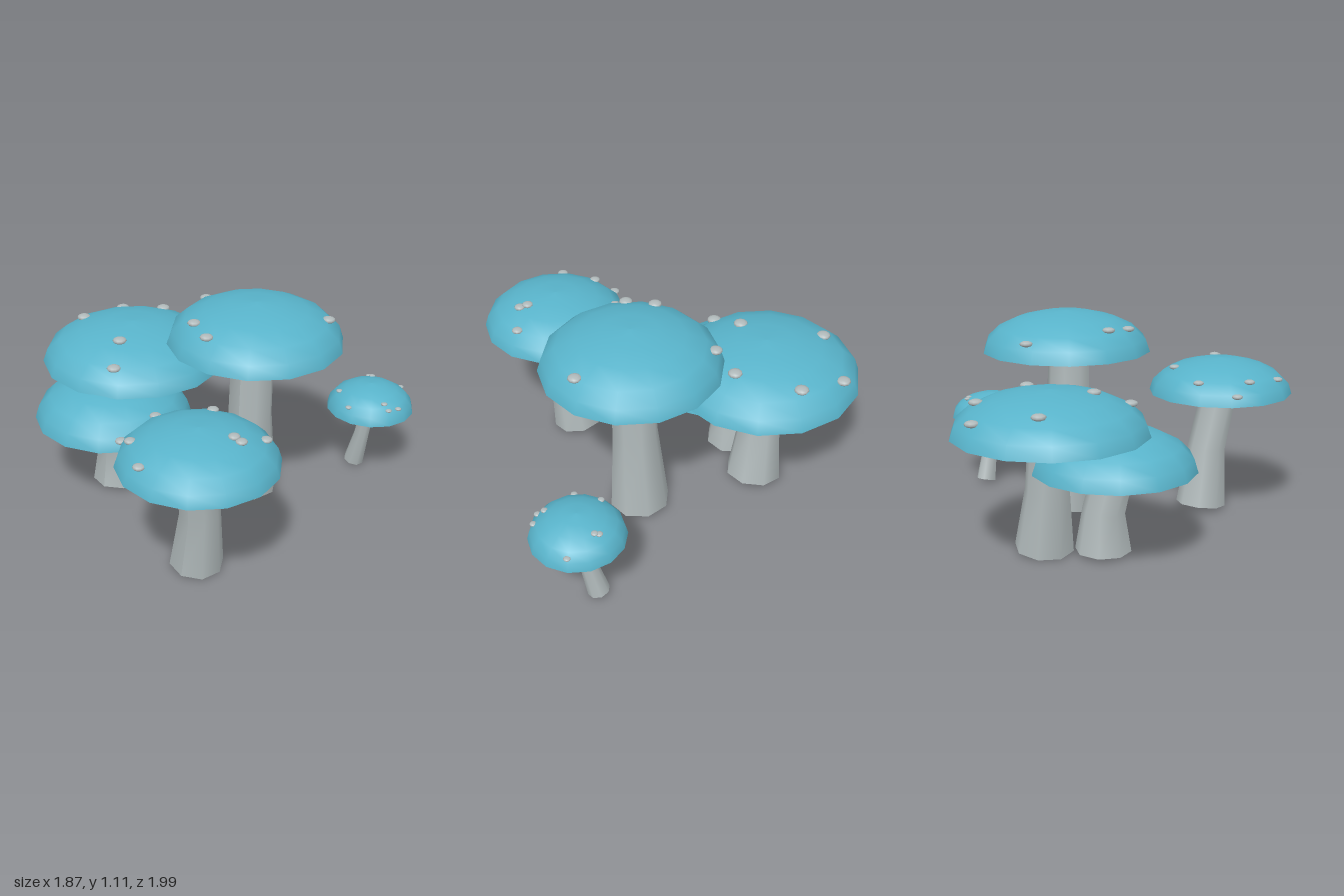
import * as THREE from 'three';

const SIDES = 14;

// cap: [x, z, rim radius, rim y, top y]; stem: [x, z] at foot, bend and top;
// neck: stem radius at the top; spots: [x, z] on the cap.
const MUSHROOMS = [
  {
    name: 'wideMushroom', cap: [-0.455, -0.168, 0.495, 0.63, 0.85], neck: 0.108,
    stem: [[-0.405, -0.215], [-0.435, -0.19], [-0.45, -0.17]],
    spots: [[-0.75, -0.476], [-0.5, -0.524], [-0.225, -0.333], [-0.78, -0.153], [-0.394, 0.037], [-0.31, 0.206]],
  },
  {
    name: 'lowMushroom', cap: [-0.375, 0.135, 0.415, 0.44, 0.655], neck: 0.102,
    stem: [[-0.39, 0.083], [-0.39, 0.085], [-0.375, 0.135]],
    spots: [[-0.06, 0.37]],
  },
  {
    name: 'tallMushroom', cap: [0.275, -0.225, 0.455, 0.9, 1.115], neck: 0.112,
    stem: [[0.25, -0.235], [0.262, -0.217], [0.27, -0.213]],
    spots: [[-0.108, -0.36], [0.595, -0.402], [0.071, 0.037], [0.198, 0.122]],
  },
  {
    name: 'frontMushroom', cap: [0.46, 0.6, 0.39, 0.655, 0.845], neck: 0.097,
    stem: [[0.397, 0.512], [0.43, 0.535], [0.455, 0.597]],
    spots: [[0.384, 0.354], [0.156, 0.503], [0.711, 0.418], [0.622, 0.556],
      [0.664, 0.561], [0.103, 0.709], [0.198, 0.767], [0.347, 0.91]],
  },
  {
    name: 'smallMushroom', cap: [0.705, -0.765, 0.235, 0.395, 0.54], neck: 0.04,
    stem: [[0.626, -0.79], [0.668, -0.772], [0.7, -0.762]],
    spots: [[0.632, -0.894], [0.653, -0.889], [0.8, -0.952], [0.563, -0.667],
      [0.669, -0.566], [0.833, -0.656], [0.865, -0.645], [0.897, -0.698]],
  },
];

// Squashed half dome, open below
function domeGeometry(radius, height) {
  const profile = [];
  for (let i = 0; i <= 5; i++) {
    const a = (i / 5) * Math.PI / 2;
    profile.push(new THREE.Vector2(i === 5 ? 0 : radius * Math.cos(a), height * Math.sin(a)));
  }
  return new THREE.LatheGeometry(profile, SIDES);
}

// Bent cylinder, flared at the foot, each ring square to the path
function stemGeometry(path, neck, topY) {
  const heights = [0.02, topY * 0.52, topY + 0.005];
  const radii = [neck * 1.4, neck * 1.06, neck];
  const centres = path.map(([x, z], i) => new THREE.Vector3(x, heights[i], z));
  const up = new THREE.Vector3(0, 1, 0);
  const turns = centres.map((c, i) => {
    const along = centres[Math.min(i + 1, 2)].clone().sub(centres[Math.max(i - 1, 0)]);
    return new THREE.Quaternion().setFromUnitVectors(up, along.normalize());
  });
  const geo = new THREE.CylinderGeometry(1, 1, 2, 8, 2);
  const pos = geo.attributes.position;
  const v = new THREE.Vector3();
  for (let i = 0; i < pos.count; i++) {
    v.fromBufferAttribute(pos, i);
    const ring = Math.round(v.y + 1);
    v.setY(0).multiplyScalar(radii[ring]).applyQuaternion(turns[ring]).add(centres[ring]);
    pos.setXYZ(i, v.x, v.y, v.z);
  }
  geo.computeVertexNormals();
  return geo;
}

export function createModel() {
  const blue = new THREE.MeshStandardMaterial({ color: 0x58b3ca });
  blue.name = 'capBlue';
  const pale = new THREE.MeshStandardMaterial({ color: 0xb0b9ba });
  pale.name = 'paleGrey';

  const model = new THREE.Group();
  model.name = 'mushroomCluster';
  const spotGeo = new THREE.SphereGeometry(1, 10, 6);

  for (const { name, cap, neck, stem, spots } of MUSHROOMS) {
    const [cx, cz, radius, rimY, topY] = cap;
    const height = topY - rimY;
    const group = new THREE.Group();
    group.name = name;
    const add = (part, geo, mat) => {
      const mesh = new THREE.Mesh(geo, mat);
      mesh.name = part;
      group.add(mesh);
      return mesh;
    };

    add('stem', stemGeometry(stem, neck, rimY), pale);
    add('cap', domeGeometry(radius, height), blue).position.set(cx, rimY, cz);

    // Flat disc closing the cap
    const disc = new THREE.CircleGeometry(radius, SIDES, Math.PI / 2).rotateX(Math.PI / 2);
    add('capUnderside', disc, pale).position.set(cx, rimY, cz);

    // Flattened spots sitting on the dome, sized to the cap
    const size = radius * 0.076;
    for (const [x, z] of spots) {
      const d = Math.min(Math.hypot(x - cx, z - cz) / radius, 0.99);
      const spot = add('spot', spotGeo, pale);
      spot.position.set(x, rimY + height * Math.sqrt(1 - d * d), z);
      spot.scale.set(size, size * 0.45, size);
    }
    model.add(group);
  }
  return model;
}
